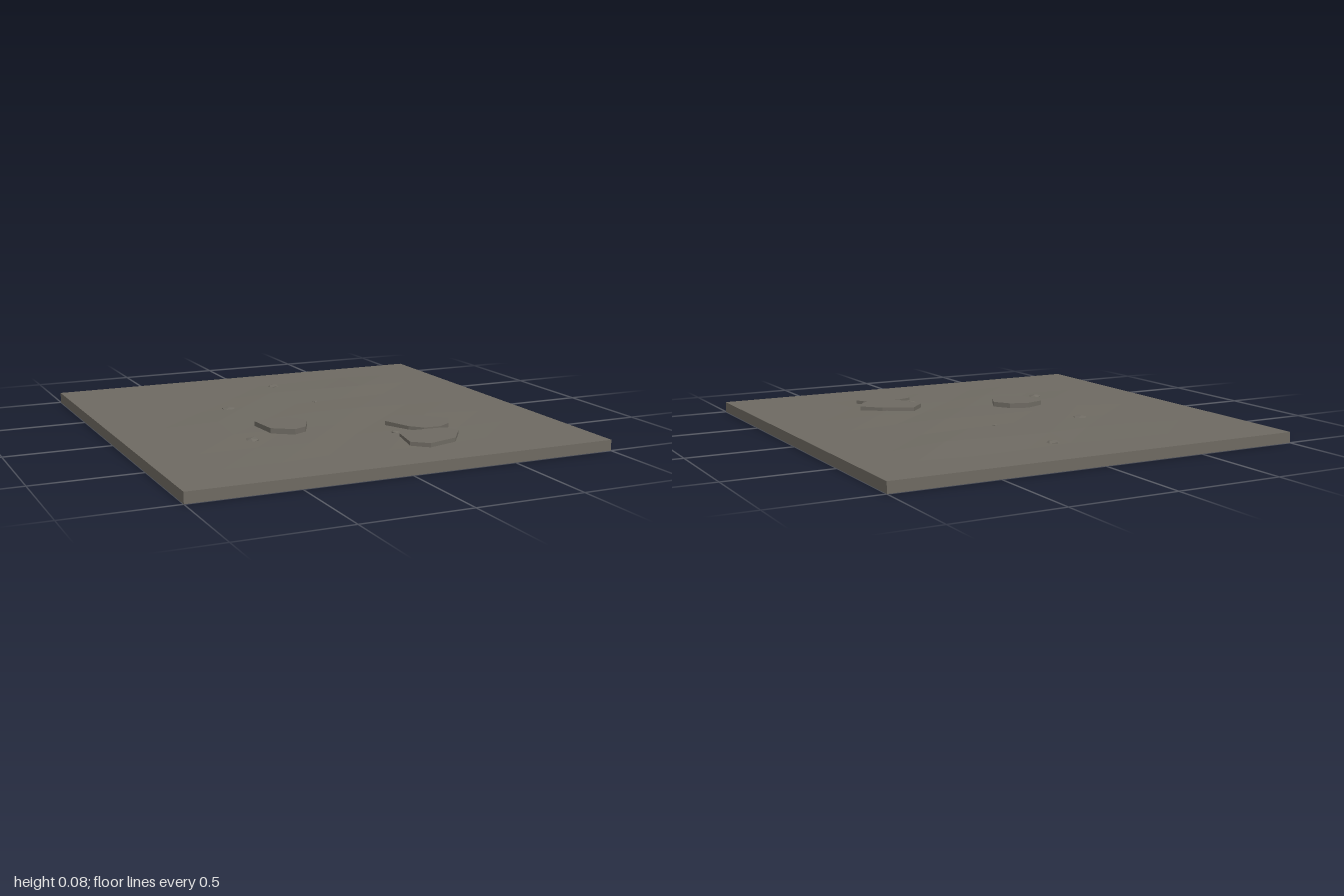
import * as THREE from 'three';

const stone = new THREE.MeshStandardMaterial({ color: 0x6e6a62, flatShading: true, side: THREE.DoubleSide });
stone.name = 'stone grey';

const RIM = 0.05;

// Extra ground height in thousandths, inner 7 x 7 grid points, back row first
const BUMPS = [
  [0, 0, 1, 1, 0, 0, 0],
  [0, 4, 5, 8, 9, 11, 0],
  [0, 5, 9, 5, 5, 4, 0],
  [1, 12, 4, 10, 11, 5, 0],
  [0, 10, 2, 6, 4, 10, 0],
  [0, 3, 6, 2, 9, 4, 0],
  [0, 0, 0, 0, 0, 0, 0],
];

// Uneven ground, flat towards its rim
function makeGround() {
  const geometry = new THREE.PlaneGeometry(2, 2, 8, 8).rotateX(-Math.PI / 2);
  const pos = geometry.attributes.position;
  for (let row = 0; row < 7; row++) {
    for (let col = 0; col < 7; col++) {
      const i = (row + 1) * 9 + col + 1;
      pos.setY(i, BUMPS[row][col] / 1000);
      // slight wander so the grid looks natural
      pos.setX(i, pos.getX(i) + 0.015 * Math.sin(row * 2 + col * 3));
      pos.setZ(i, pos.getZ(i) + 0.02 * Math.cos(row * 3 + col * 2));
    }
  }
  pos.setXYZ(6 * 9 + 4, 0, 0.002, 0.45);
  pos.setXYZ(5 * 9 + 5, 0.25, 0.004, 0.225);
  pos.setXYZ(4 * 9 + 6, 0.5, 0.005, 0);
  geometry.translate(0, RIM, 0);
  geometry.computeVertexNormals();
  return new THREE.Mesh(geometry, stone);
}

// Flat flagstone with an irregular outline of [x, z] points
function makeSlab(outline, top) {
  const shape = new THREE.Shape(outline.map(([x, z]) => new THREE.Vector2(x, -z)));
  const geometry = new THREE.ExtrudeGeometry(shape, { depth: top - RIM, bevelEnabled: false });
  geometry.rotateX(-Math.PI / 2).translate(0, RIM, 0);
  return new THREE.Mesh(geometry, stone);
}

export function createModel() {
  const model = new THREE.Group();
  const add = (mesh, name) => {
    mesh.name = name;
    model.add(mesh);
    return mesh;
  };

  add(makeGround(), 'ground');

  // Four thin skirt walls, open underneath
  for (let i = 0; i < 4; i++) {
    const geometry = new THREE.PlaneGeometry(2, RIM).translate(0, RIM / 2, 1);
    geometry.rotateY((i * Math.PI) / 2);
    add(new THREE.Mesh(geometry, stone), 'skirtWall');
  }

  // Flagstones
  add(makeSlab([[-0.36, 0.125], [-0.27, 0.095], [-0.18, 0.125], [-0.13, 0.205],
    [-0.185, 0.315], [-0.25, 0.345], [-0.345, 0.28]], 0.078), 'leftSlab');
  add(makeSlab([[0.28, 0.27], [0.42, 0.335], [0.5, 0.42], [0.45, 0.51],
    [0.385, 0.55], [0.3, 0.545], [0.25, 0.49], [0.2, 0.355]], 0.075), 'middleSlab');
  add(makeSlab([[0.16, 0.575], [0.23, 0.545], [0.4, 0.555], [0.435, 0.625],
    [0.35, 0.745], [0.2, 0.79], [0.13, 0.73]], 0.069), 'frontSlab');

  // Half-buried pebbles: x, z, radius, centre height
  const pebbles = [
    [0.07, -0.69, 0.033, 0.049],
    [-0.345, -0.26, 0.036, 0.053],
    [0.11, -0.24, 0.015, 0.055],
    [-0.465, 0.365, 0.036, 0.052],
    [0.18, 0.5, 0.025, 0.055],
  ];
  pebbles.forEach(([x, z, radius, y], i) => {
    const pebble = add(new THREE.Mesh(new THREE.IcosahedronGeometry(radius, 0), stone), 'pebble');
    pebble.position.set(x, y, z);
    pebble.rotation.y = i * 1.3;
    pebble.scale.y = 0.45;
  });

  return model;
}
